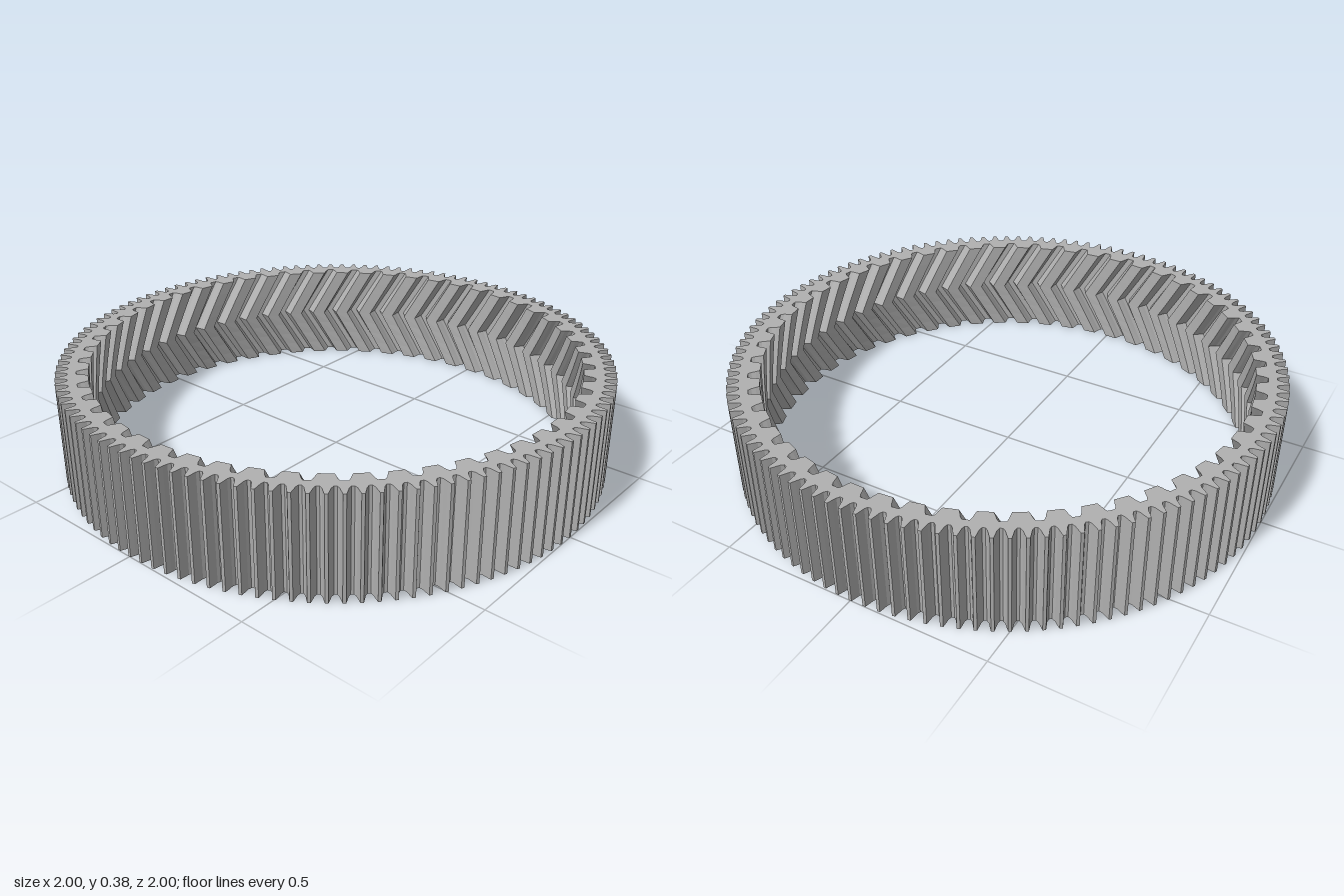
import * as THREE from 'three';

const HEIGHT = 0.375;
const OUTER_TEETH = 120;
const INNER_TEETH = 54;
const TWIST = 0.12; // sweep of the herringbone at mid height, in radians

// Repeats one tooth, given as [fraction of pitch, radius], around a circle
function toothedLoop(count, profile, phase) {
  const points = [];
  const pitch = (Math.PI * 2) / count;
  for (let i = 0; i < count; i++) {
    for (const [t, r] of profile) {
      const a = phase + (i + t) * pitch;
      points.push(new THREE.Vector2(r * Math.cos(a), r * Math.sin(a)));
    }
  }
  return points;
}

export function createModel() {
  const group = new THREE.Group();
  const steel = new THREE.MeshStandardMaterial({ color: 0xb0b0b0, flatShading: true });
  steel.name = 'grey steel';

  // Outer straight teeth, centred on each pitch start
  const outer = toothedLoop(OUTER_TEETH, [
    [-0.40, 0.957], [-0.27, 0.967], [-0.19, 0.983], [-0.10, 1.0],
    [0.10, 1.0], [0.19, 0.983], [0.27, 0.967], [0.40, 0.957],
  ], 0);

  // Inner tooth gaps, narrowing towards the root
  const inner = toothedLoop(INNER_TEETH, [
    [-0.26, 0.886], [-0.21, 0.9], [-0.17, 0.915], [-0.11, 0.927],
    [0.11, 0.927], [0.17, 0.915], [0.21, 0.9], [0.26, 0.886],
  ], Math.PI / 2 + 0.036);

  const shape = new THREE.Shape(outer);
  shape.holes.push(new THREE.Path(inner));
  const geometry = new THREE.ExtrudeGeometry(shape, { depth: HEIGHT, steps: 8, bevelEnabled: false });

  // Sweep the inner teeth into a herringbone, leaving the outer wall straight
  const pos = geometry.attributes.position;
  for (let i = 0; i < pos.count; i++) {
    const x = pos.getX(i), y = pos.getY(i), z = pos.getZ(i);
    if (Math.hypot(x, y) > 0.94) continue;
    const a = TWIST * (1 - Math.abs((2 * z) / HEIGHT - 1));
    pos.setXY(i, x * Math.cos(a) - y * Math.sin(a), x * Math.sin(a) + y * Math.cos(a));
  }
  geometry.rotateX(-Math.PI / 2);
  geometry.computeVertexNormals();

  const ring = new THREE.Mesh(geometry, steel);
  ring.name = 'herringboneRingGear';
  group.add(ring);
  return group;
}
